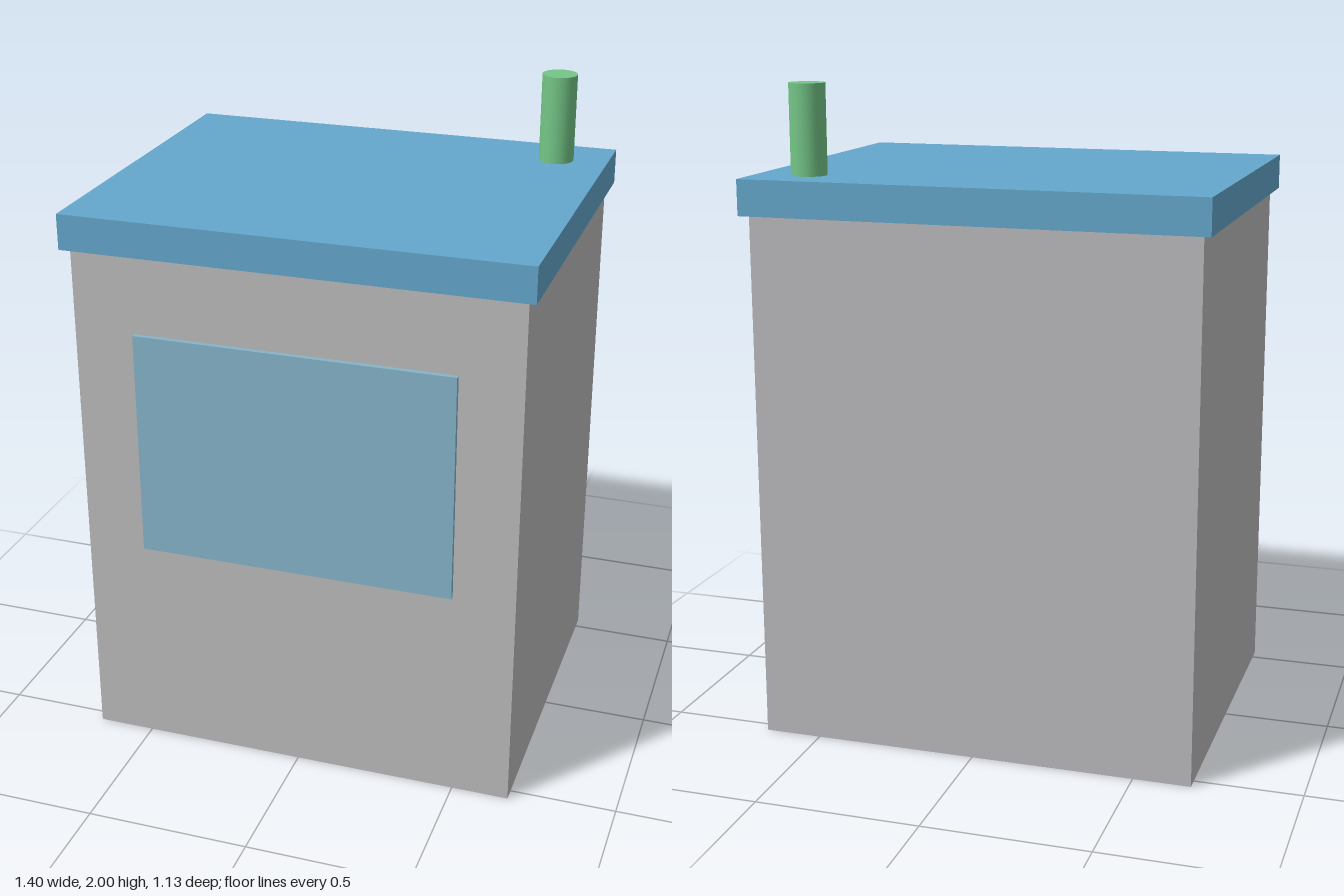
import * as THREE from 'three';

const material = (name, color) => {
  const m = new THREE.MeshStandardMaterial({ color });
  m.name = name;
  return m;
};

export function createModel() {
  const group = new THREE.Group();
  group.name = 'kiosk';

  const wallGrey = material('wallGrey', 0xbbbbbd);
  const roofBlue = material('roofBlue', 0x64a7cc);
  const windowBlue = material('windowBlue', 0x85b4ca);
  const pipeGreen = material('pipeGreen', 0x74c687);

  const add = (name, geometry, mat, x, y, z) => {
    const mesh = new THREE.Mesh(geometry, mat);
    mesh.name = name;
    mesh.position.set(x, y, z);
    group.add(mesh);
  };

  // Main body
  add('body', new THREE.BoxGeometry(1.351, 1.622, 1.081), wallGrey, 0, 0.811, 0);

  // Overhanging flat roof
  add('roof', new THREE.BoxGeometry(1.4, 0.108, 1.13), roofBlue, 0, 1.676, 0);

  // Service window, set halfway into the front wall
  add('window', new THREE.BoxGeometry(0.973, 0.703, 0.032), windowBlue, 0, 1.027, 0.54);

  // Vent pipe at the rear left corner of the roof
  add('ventPipe', new THREE.CylinderGeometry(0.054, 0.054, 0.27, 32), pipeGreen, 0.54, 1.865, -0.405);

  return group;
}
